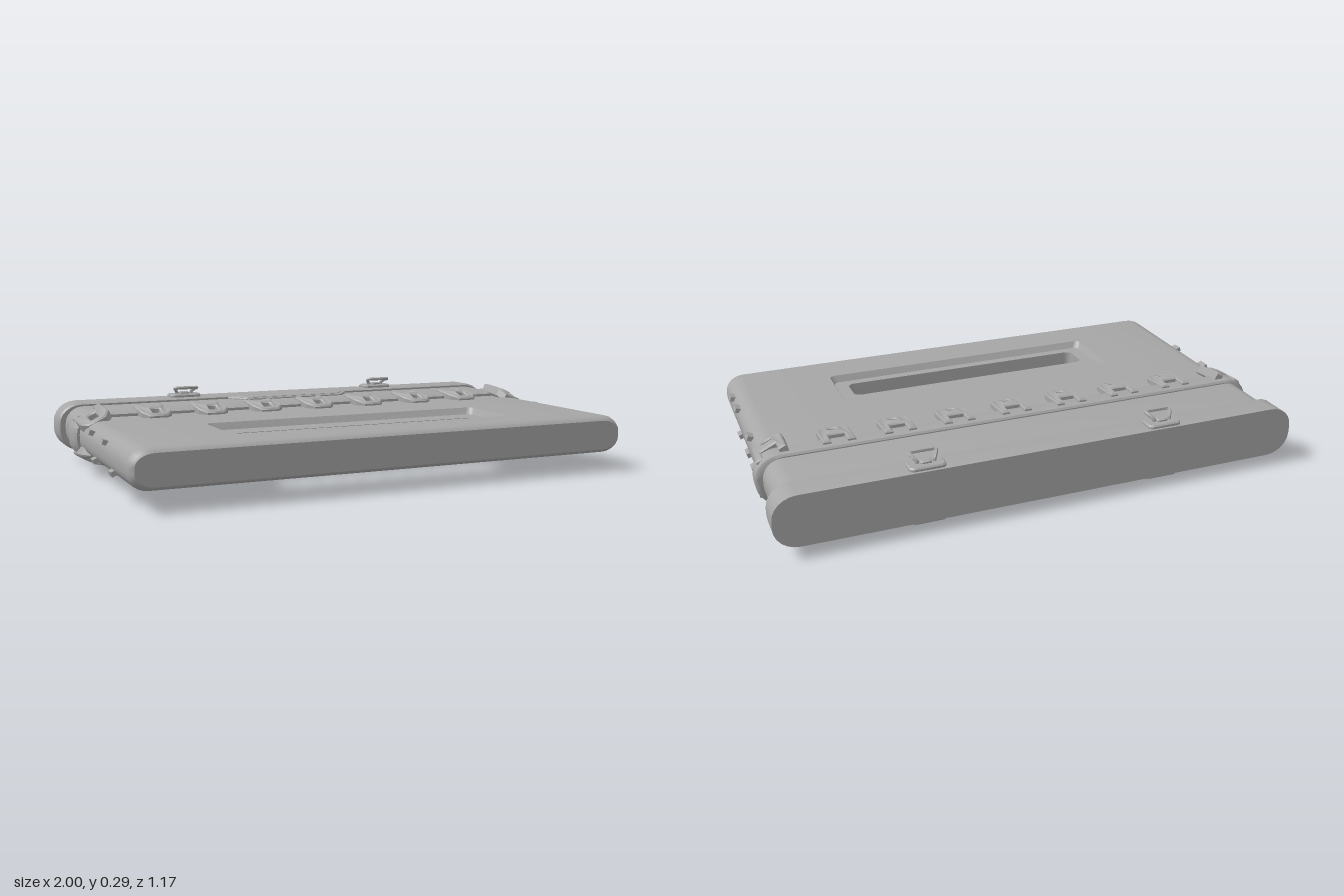
import * as THREE from 'three';
import { toCreasedNormals } from 'three/addons/utils/BufferGeometryUtils.js';

const V = (x, y, z) => new THREE.Vector3(x, y, z);
const CENTRE_Y = 0.147;

export function createModel() {
  const grey = new THREE.MeshStandardMaterial({ color: 0xa6a6a6 });
  grey.name = 'grey';

  const part = (parent, name, geometry) => {
    const m = new THREE.Mesh(toCreasedNormals(geometry, 0.6), grey);
    m.name = name;
    parent.add(m);
    return m;
  };

  // Skin over matching loops of points, with optional flat ends
  function loft(loops, caps = true) {
    const pos = [];
    const n = loops[0].length;
    const tri = (...p) => p.forEach(v => pos.push(v.x, v.y, v.z));
    for (let k = 0; k < loops.length - 1; k++) {
      const a = loops[k], b = loops[k + 1];
      for (let i = 0; i < n; i++) {
        const j = (i + 1) % n;
        tri(a[i], a[j], b[i]);
        tri(a[j], b[j], b[i]);
      }
    }
    if (caps) {
      const first = loops[0], last = loops[loops.length - 1];
      for (let i = 1; i < n - 1; i++) {
        tri(first[0], first[i + 1], first[i]);
        tri(last[0], last[i], last[i + 1]);
      }
    }
    const g = new THREE.BufferGeometry();
    g.setAttribute('position', new THREE.Float32BufferAttribute(pos, 3));
    g.computeVertexNormals();
    return g;
  }

  // Flat oval section with elliptical corners, counter-clockwise from the right side
  function section(w, h, z, rx = 0.07, ry = h * 0.85) {
    const pts = [];
    for (let q = 0; q < 4; q++) {
      const sx = q === 0 || q === 3 ? 1 : -1, sy = q < 2 ? 1 : -1;
      for (let i = 0; i <= 6; i++) {
        const a = (q + i / 6) * Math.PI / 2;
        pts.push(V(sx * (w - rx) + rx * Math.cos(a), sy * (h - ry) + ry * Math.sin(a), z));
      }
    }
    return pts;
  }

  // Rounded rectangle in plan (shape y becomes z)
  function roundRect(x0, x1, z0, z1, r, Type = THREE.Shape) {
    const s = new Type();
    s.absarc(x1 - r, z0 + r, r, -Math.PI / 2, 0);
    s.absarc(x1 - r, z1 - r, r, 0, Math.PI / 2);
    s.absarc(x0 + r, z1 - r, r, Math.PI / 2, Math.PI);
    s.absarc(x0 + r, z0 + r, r, Math.PI, Math.PI * 1.5);
    return s;
  }
  const polygon = pts => new THREE.Shape(pts.map(p => new THREE.Vector2(...p)));

  // Plan shape given height from y0 to y1
  function slab(shape, y0, y1, bevel = 0) {
    return new THREE.ExtrudeGeometry(shape, {
      depth: y1 - y0 - 2 * bevel, bevelEnabled: bevel > 0, bevelSize: bevel,
      bevelThickness: bevel, bevelOffset: -bevel, bevelSegments: 1, curveSegments: 6,
    }).rotateX(Math.PI / 2).translate(0, y1 - bevel, 0);
  }

  const root = new THREE.Group();
  root.name = 'flatCase';
  const body = new THREE.Group();
  body.name = 'body';
  body.position.y = CENTRE_Y;
  root.add(body);

  // Main body: pierced middle block and rounded nose
  const H = 0.072, W = 0.972;
  const middle = roundRect(-0.62, 0.62, -0.22, 0.55, 0.0001);
  middle.holes.push(roundRect(-0.57, 0.57, 0.125, 0.405, 0.025, THREE.Path));
  part(body, 'middleBlock', slab(middle, -H, H));
  part(body, 'nose', loft([
    section(W, H, 0.55), section(W - 0.004, H - 0.003, 0.565),
    section(W - 0.01, H - 0.008, 0.577), section(W - 0.018, H - 0.016, 0.584),
  ]));

  // Sunken floor with the long slot
  const floor = roundRect(-0.575, 0.575, 0.12, 0.41, 0.01);
  floor.holes.push(roundRect(-0.505, 0.505, 0.235, 0.355, 0.025, THREE.Path));
  part(body, 'recessFloor', slab(floor, -0.046, 0.046));

  // Neck, sealing band and end cap
  part(body, 'neck', loft([section(W, 0.084, -0.49), section(W, 0.084, -0.26)]));
  part(body, 'sealingBand', loft([
    section(0.988, 0.088, -0.281, 0.09), section(0.997, 0.095, -0.275, 0.09),
    section(0.997, 0.095, -0.212, 0.09), section(0.982, 0.082, -0.188, 0.08),
  ]));
  part(body, 'endCap', loft([
    section(1, 0.097, -0.584, 0.09), section(1, 0.097, -0.484, 0.09),
    section(0.993, 0.091, -0.475, 0.088),
  ]));

  // Clip: two prongs at the back, sloping chamfered tongue with a window
  const clipPlan = polygon([
    [-0.06, -0.253], [-0.03, -0.253], [-0.03, -0.2], [0.03, -0.2], [0.03, -0.253], [0.06, -0.253],
    [0.06, -0.128], [0.035, -0.096], [-0.035, -0.096], [-0.06, -0.128],
  ]);
  clipPlan.holes.push(roundRect(-0.017, 0.017, -0.157, -0.118, 0.005, THREE.Path));
  const clipGeometry = slab(clipPlan, -0.02, 0.018, 0.005);
  const cp = clipGeometry.attributes.position;
  for (let i = 0; i < cp.count; i++) {
    const z = cp.getZ(i);
    cp.setY(i, cp.getY(i) - Math.max(0, z + 0.165) * 0.32);
  }
  clipGeometry.computeVertexNormals();
  const clipBack = new THREE.BoxGeometry(0.034, 0.012, 0.05).translate(0, -0.018, -0.138);

  function addClip(parent, x, y, tilt) {
    const g = new THREE.Group();
    g.name = 'clip';
    g.position.set(x, y, 0);
    g.rotation.z = tilt;
    part(g, 'clipPlate', clipGeometry);
    part(g, 'clipWindow', clipBack);
    parent.add(g);
  }

  // Latch: base plate, wire bail curling forward and a small keeper
  const bail = new THREE.CatmullRomCurve3([
    V(-0.03, 0.1, -0.535), V(-0.032, 0.118, -0.536), V(-0.042, 0.13, -0.522), V(-0.046, 0.137, -0.5),
    V(0.046, 0.137, -0.5), V(0.042, 0.13, -0.522), V(0.032, 0.118, -0.536), V(0.03, 0.1, -0.535),
  ], false, 'catmullrom', 0.2);
  function addLatch(parent, x) {
    const g = new THREE.Group();
    g.name = 'latch';
    g.position.x = x;
    part(g, 'latchBase', slab(roundRect(-0.067, 0.067, -0.574, -0.5, 0.02), 0.09, 0.11, 0.005));
    part(g, 'latchBail', new THREE.TubeGeometry(bail, 40, 0.007, 6));
    part(g, 'latchKeeper', slab(roundRect(-0.02, 0.02, -0.55, -0.52, 0.006), 0.1, 0.118, 0.003));
    parent.add(g);
  }

  // Half section of the body side, from inside the block out to the rounded edge
  function sideLoop(z) {
    const s = section(W, H, z);
    return [...s.slice(21), ...s.slice(0, 7), V(0.62, H, z), V(0.62, -H, z)];
  }
  // Recess rim outline at a given height
  const rim = (inset, y) => roundRect(-0.57 + inset, 0.57 - inset, 0.125 + inset, 0.405 - inset, 0.025)
    .getPoints(6).map(p => V(p.x, y, p.y));

  // Everything on the top; a half turn repeats it below and on the other side
  function makeHalf(name, nubs) {
    const half = new THREE.Group();
    half.name = name;
    part(half, 'bodySide', loft([sideLoop(-0.22), sideLoop(0.55)]));
    part(half, 'recessWall', loft([rim(0.014, 0.045), rim(0, H)], false));

    // Centre pull tab
    part(half, 'pullTab', slab(polygon([
      [-0.285, -0.485], [0.285, -0.485], [0.27, -0.455], [0.222, -0.397], [-0.222, -0.397], [-0.27, -0.455],
    ]), 0.07, 0.092, 0.004));
    part(half, 'pullTabPanel', slab(polygon([
      [-0.262, -0.485], [0.262, -0.485], [0.252, -0.46], [0.212, -0.41], [-0.212, -0.41], [-0.252, -0.46],
    ]), 0.08, 0.095, 0.002));

    for (let i = -3; i <= 3; i++) addClip(half, i * 0.2286, 0.088, 0);
    for (const s of [-1, 1]) {
      addClip(half, s * 0.926, 0.08, -s * 0.45);
      addLatch(half, s * 0.457);
    }

    // Small nubs along the rounded side
    for (const [z, y, w] of nubs) {
      const nub = part(half, 'sideNub', new THREE.BoxGeometry(0.03, 0.018, w));
      nub.position.set(0.964, y, z);
      nub.rotation.z = y * 8;
    }
    body.add(half);
    return half;
  }
  makeHalf('topHalf', [
    [0.405, 0.04, 0.04], [0.285, 0.042, 0.045], [0.005, 0.047, 0.04],
    [0.24, -0.047, 0.04], [0.06, -0.042, 0.045], [-0.05, -0.05, 0.04],
  ]);
  makeHalf('bottomHalf', [
    [0.34, 0.042, 0.045], [0.06, 0.045, 0.04], [0.22, -0.042, 0.04], [0, -0.045, 0.045],
  ]).rotation.z = Math.PI;

  return root;
}
